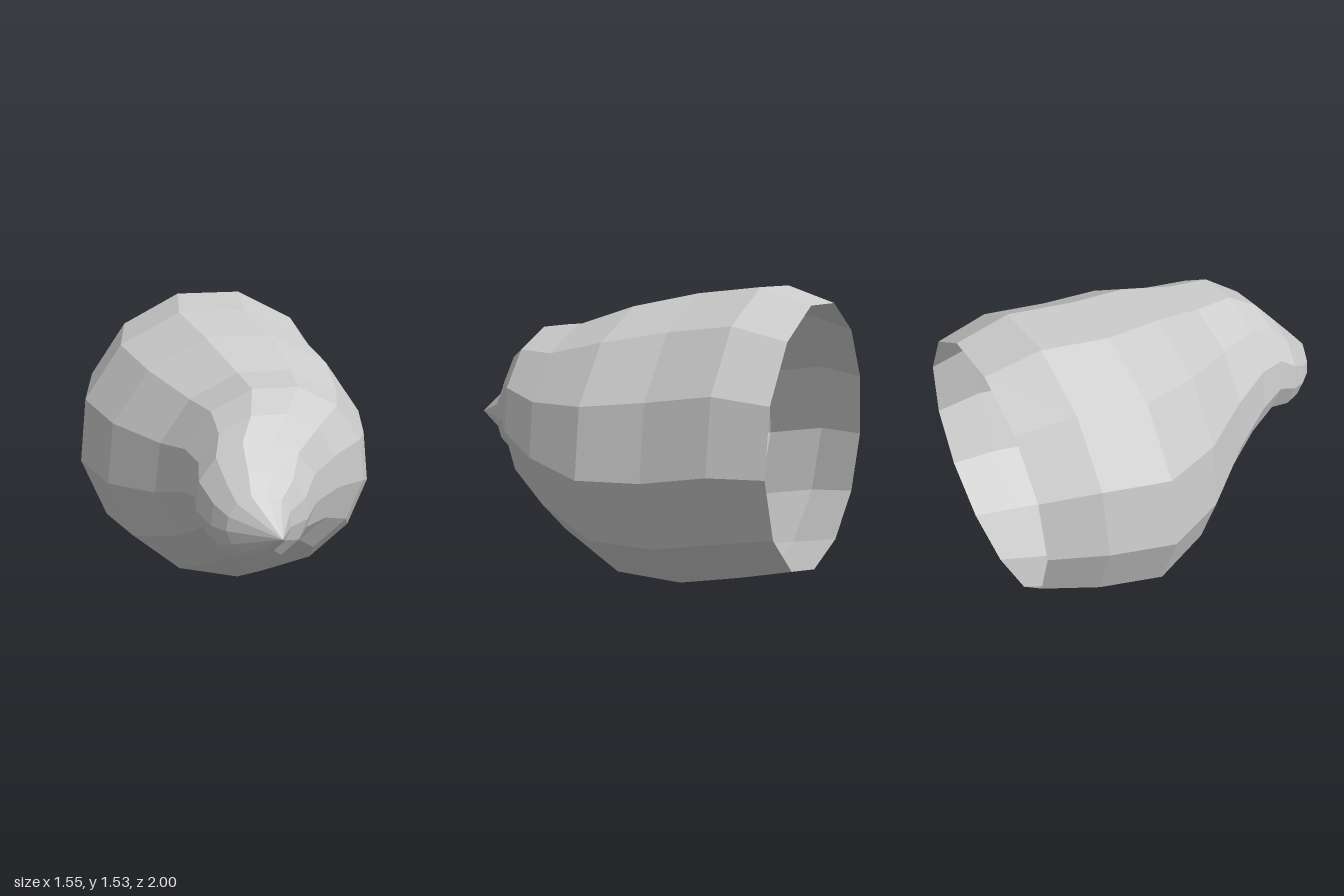
import * as THREE from 'three';

const SIDES = 13;

// Rings from the open rim to the tip: [z, centre x, centre y, radius]
const RINGS = [
  [-1.0, 0.035, 0.82, 0.65],
  [-0.745, 0.0, 0.82, 0.731],
  [-0.42, -0.022, 0.76, 0.758],
  [-0.1, 0.067, 0.74, 0.71],
  [0.21, 0.145, 0.785, 0.56],
  [0.43, 0.153, 0.865, 0.46],
  [0.58, 0.095, 0.89, 0.351],
  [0.67, 0.027, 0.855, 0.29],
  [0.775, 0.02, 0.81, 0.226],
  [0.85, 0.002, 0.805, 0.15],
  [1.0, 0.08, 0.8, 0],
];

// Skin of flat facets between neighbouring rings, each with a corner at the bottom
function loftRings(rings) {
  const positions = [];
  const indices = [];
  for (const [z, cx, cy, r] of rings) {
    for (let j = 0; j < SIDES; j++) {
      const a = -Math.PI / 2 + (j / SIDES) * Math.PI * 2;
      positions.push(cx + r * Math.cos(a), cy + r * Math.sin(a), z);
    }
  }
  for (let i = 0; i < rings.length - 1; i++) {
    for (let j = 0; j < SIDES; j++) {
      const a = i * SIDES + j;
      const b = i * SIDES + ((j + 1) % SIDES);
      const c = a + SIDES;
      const d = b + SIDES;
      if (rings[i + 1][3] > 0) indices.push(a, b, d, a, d, c);
      else indices.push(a, b, c); // fan closing at the tip
    }
  }
  const geometry = new THREE.BufferGeometry();
  geometry.setAttribute('position', new THREE.Float32BufferAttribute(positions, 3));
  geometry.setIndex(indices);
  geometry.computeVertexNormals();
  return geometry;
}

export function createModel() {
  const group = new THREE.Group();
  group.name = 'spiralShell';

  // Thin twisted shell, open at the back
  const material = new THREE.MeshStandardMaterial({
    color: 0xcccccc,
    flatShading: true,
    side: THREE.DoubleSide,
  });
  const shell = new THREE.Mesh(loftRings(RINGS), material);
  shell.name = 'shell';
  group.add(shell);

  return group;
}
